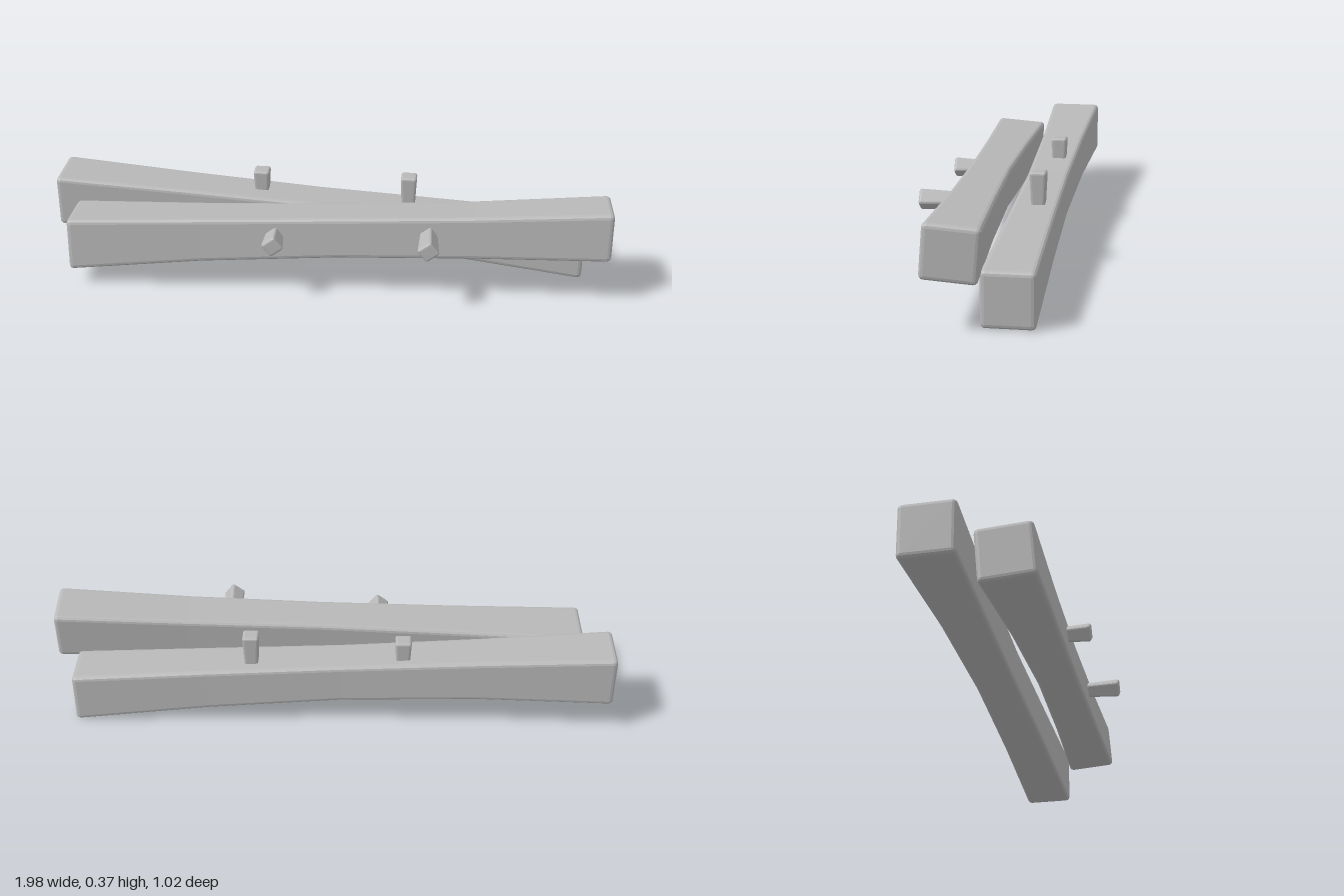
import * as THREE from 'three';

// Rounded rectangle ring in the z/y plane at a given x
function ring([x, y, z, w, h], inset, r) {
  const pts = [], rad = Math.max(r - inset, 0.001);
  const cz = w / 2 - inset - rad, cy = h / 2 - inset - rad;
  [[1, 1], [-1, 1], [-1, -1], [1, -1]].forEach(([sz, sy], q) => {
    for (let k = 0; k <= 3; k++) {
      const a = (q + k / 3) * Math.PI / 2;
      pts.push([x, y + sy * cy + rad * Math.sin(a), z + sz * cz + rad * Math.cos(a)]);
    }
  });
  return pts;
}

// Bevelled bar along local x; stations are [x, y, z, width, height]
function bar(stations, r) {
  const rings = [], first = stations[0], last = stations[stations.length - 1];
  const end = (s, dir, k) => {
    const a = k / 3 * Math.PI / 2;
    rings.push(ring([s[0] + dir * r * (1 - Math.sin(a)), ...s.slice(1)], r * (1 - Math.cos(a)), r));
  };
  for (let k = 3; k >= 0; k--) end(first, 1, k);
  stations.slice(1, -1).forEach(s => rings.push(ring(s, 0, r)));
  for (let k = 0; k <= 3; k++) end(last, -1, k);

  const pos = [], n = rings[0].length;
  const tri = (...p) => p.forEach(v => pos.push(...v));
  for (let i = 0; i < rings.length - 1; i++) {
    for (let j = 0; j < n; j++) {
      const a = rings[i][j], b = rings[i][(j + 1) % n];
      const c = rings[i + 1][j], d = rings[i + 1][(j + 1) % n];
      tri(a, c, b);
      tri(b, c, d);
    }
  }
  const R0 = rings[0], R1 = rings[rings.length - 1];
  for (let j = 0; j < n; j++) {
    const k = (j + 1) % n;
    tri(first.slice(0, 3), R0[j], R0[k]);
    tri(last.slice(0, 3), R1[k], R1[j]);
  }
  const g = new THREE.BufferGeometry();
  g.setAttribute('position', new THREE.Float32BufferAttribute(pos, 3));
  g.computeVertexNormals();
  return g;
}

export function createModel() {
  const model = new THREE.Group();
  const grey = new THREE.MeshStandardMaterial({ color: 0xb8b8b8 });
  grey.name = 'plain grey';

  const add = (name, geometry, position, yaw, roll = 0, pitch = 0) => {
    const mesh = new THREE.Mesh(geometry, grey);
    mesh.name = name;
    mesh.position.set(...position);
    mesh.rotation.set(roll, yaw, pitch, 'YXZ');
    model.add(mesh);
  };

  // Two sloping beams, each waisted in the middle
  const backYaw = -0.329, frontYaw = -0.3;
  add('backBeam', bar([
    [-1.006, 0.22, 0, 0.2, 0.2],
    [-0.5, 0.203, 0, 0.17, 0.168],
    [0, 0.177, 0, 0.157, 0.155],
    [0.5, 0.142, 0, 0.168, 0.168],
    [1.006, 0.098, 0, 0.183, 0.195],
  ], 0.016), [-0.0125, 0, -0.1], backYaw);
  add('frontBeam', bar([
    [-1, -0.06, 0, 0.2, 0.2],
    [-0.5, -0.026, 0.005, 0.172, 0.17],
    [0, 0.002, 0.008, 0.157, 0.158],
    [0.5, 0.025, 0.005, 0.168, 0.165],
    [1, 0.049, 0, 0.19, 0.187],
  ], 0.016), [0.005, 0.221, 0.12], frontYaw, -0.08);

  // Tapered square pegs, wider at the tip
  const peg = length => bar([[0, 0, 0, 0.048, 0.048], [length, 0, 0, 0.06, 0.06]], 0.009);
  add('topPegLeft', peg(0.157), [0.31, 0.196, 0], backYaw, 0, Math.PI / 2);
  add('topPegRight', peg(0.137), [-0.22, 0.209, -0.19], backYaw, 0, Math.PI / 2);
  const outYaw = frontYaw - Math.PI / 2;
  add('frontPegLeft', peg(0.17), [0.317, 0.26, 0.258], outYaw, 0.65);
  add('frontPegRight', peg(0.14), [-0.221, 0.235, 0.086], outYaw, 0.65);

  return model;
}
